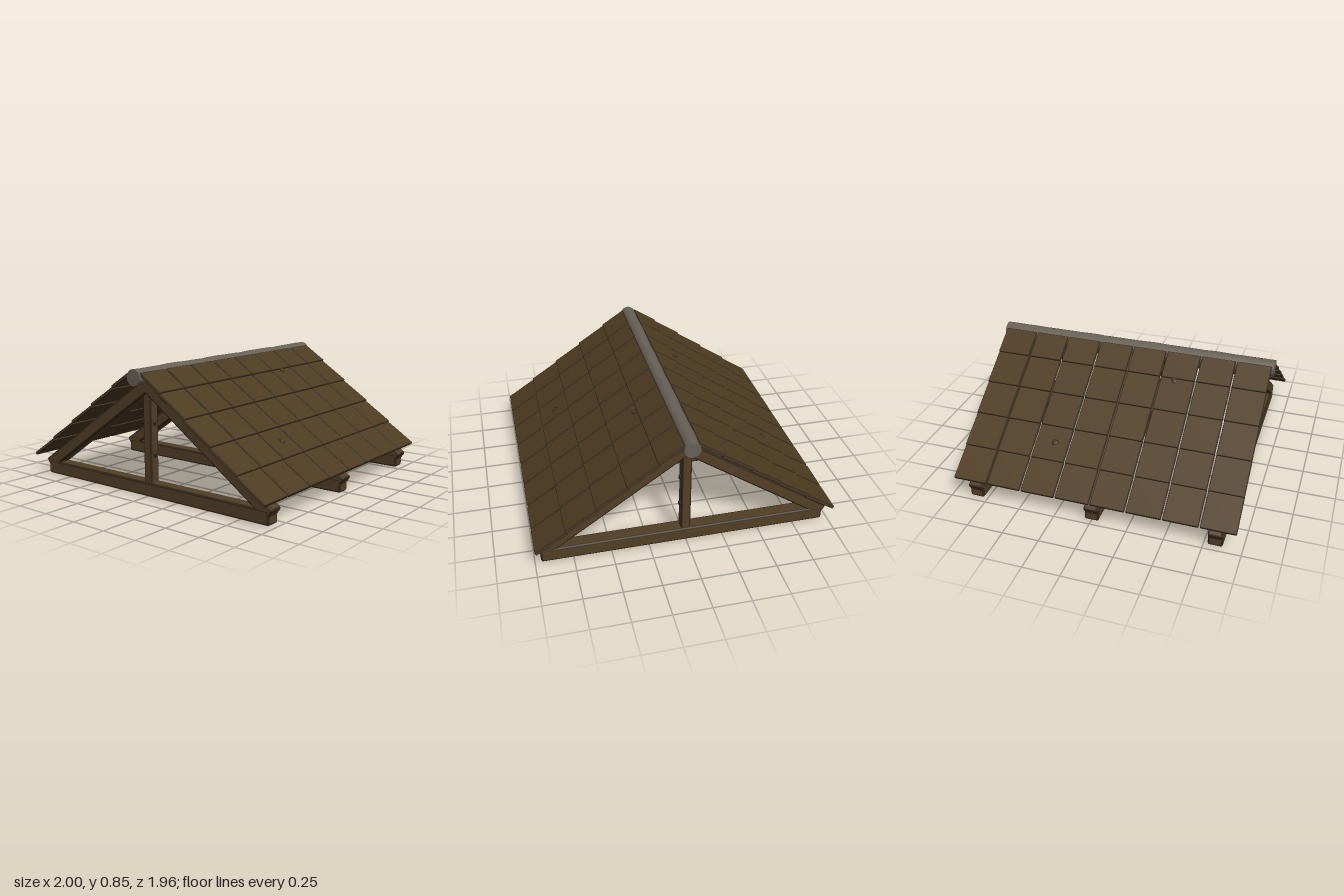
import * as THREE from 'three';
import { RoundedBoxGeometry } from 'three/addons/geometries/RoundedBoxGeometry.js';

const flat = (name, color) => Object.assign(new THREE.MeshStandardMaterial({ color }), { name });

// Box with worn edges: flat sides use material 0, the bevels material 1
function bevelBox(w, h, d, bevel) {
  const geo = new RoundedBoxGeometry(w, h, d, 1, bevel);
  const pos = geo.attributes.position;
  const [a, b, c] = [0, 1, 2].map(() => new THREE.Vector3());
  geo.clearGroups();
  let start = 0, current = -1;
  for (let i = 0; i < pos.count; i += 3) {
    a.fromBufferAttribute(pos, i);
    b.fromBufferAttribute(pos, i + 1).sub(a);
    c.fromBufferAttribute(pos, i + 2).sub(a);
    const n = b.cross(c).normalize();
    const mat = Math.max(Math.abs(n.x), Math.abs(n.y), Math.abs(n.z)) > 0.999 ? 0 : 1;
    if (mat !== current) {
      if (current >= 0) geo.addGroup(start, i - start, current);
      start = i;
      current = mat;
    }
  }
  geo.addGroup(start, pos.count - start, current);
  return geo;
}

export function createModel() {
  const model = new THREE.Group();
  model.name = 'gableRoof';
  const beamWood = flat('beamWood', 0x523e24);
  const tileWood = flat('tileWood', 0x4e3b21);
  const darkEdge = flat('darkEdge', 0x30251a);
  const stone = flat('ridgeGrey', 0x676157);
  const beamMats = [beamWood, darkEdge];
  const tileMats = [tileWood, darkEdge];

  const add = (parent, name, geo, mat, x, y, z, rz = 0) => {
    const mesh = new THREE.Mesh(geo, mat);
    mesh.name = name;
    mesh.position.set(x, y, z);
    mesh.rotation.z = rz;
    parent.add(mesh);
    return mesh;
  };

  // Trusses: tie beam, king post with knots, two rafters
  const pitch = Math.atan(0.69), rafterLen = 1.203, rafterW = 0.088;
  const tieGeo = bevelBox(1.92, 0.095, 0.098, 0.013);
  const postGeo = bevelBox(0.066, 0.63, 0.07, 0.01);
  const rafterGeo = bevelBox(rafterLen, rafterW, 0.094, 0.013);
  const knotGeo = new THREE.SphereGeometry(0.02, 10, 6);
  for (const z of [-0.825, 0, 0.825]) {
    const truss = new THREE.Group();
    truss.name = 'truss';
    truss.position.z = z;
    model.add(truss);
    add(truss, 'tieBeam', tieGeo, beamMats, 0, 0.0475, 0);
    add(truss, 'kingPost', postGeo, beamMats, 0, 0.385, 0);
    for (const y of [0.28, 0.49]) {
      add(truss, 'postKnot', knotGeo, darkEdge, 0.033, y, 0).scale.set(0.65, 1.1, 0.8);
    }
    for (const s of [1, -1]) {
      const x = 0.495 - Math.sin(pitch) * rafterW / 2;
      const y = 0.4425 - Math.cos(pitch) * rafterW / 2;
      add(truss, 'rafter', rafterGeo, beamMats, s * x, y, 0, -s * pitch);
    }
  }

  // Roof slopes: eight columns of five overlapping wooden tiles
  const slope = THREE.MathUtils.degToRad(33), cos = Math.cos(slope), sin = Math.sin(slope);
  const thick = 0.023;
  const tileGeo = bevelBox(0.25, thick, 0.232, 0.006);
  const topTileGeo = bevelBox(0.2, thick, 0.232, 0.006);
  const ringGeo = new THREE.TorusGeometry(0.018, 0.004, 5, 14);
  for (const turn of [0, Math.PI]) {
    const side = new THREE.Group();
    side.name = 'roofSlope';
    side.rotation.y = turn;
    model.add(side);
    for (let row = 0; row < 5; row++) {
      const len = row === 4 ? 0.2 : 0.25;
      const x = 1.003 - 0.197 * row - cos * len / 2 - sin * thick / 2;
      const y = 0.162 + 0.14 * row + sin * len / 2 - cos * thick / 2;
      for (let col = 0; col < 8; col++) {
        add(side, 'roofTile', row === 4 ? topTileGeo : tileGeo, tileMats, x, y, (col - 3.5) * 0.242, -slope);
      }
      // Knots on two of the tiles
      if (row === 1 || row === 3 || row === 4) {
        if (row === 3) continue;
        const kx = row === 1 ? 0.69 : 0.222;
        const slide = (x - kx) / cos;
        const lift = thick / 2;
        const knot = new THREE.Group();
        knot.name = 'tileKnot';
        knot.position.set(kx + sin * lift, y + sin * slide + cos * lift, row === 1 ? 0.345 : -0.345);
        knot.rotation.z = -slope;
        side.add(knot);
        add(knot, 'knotRing', ringGeo, darkEdge, 0, 0, 0).rotation.x = -Math.PI / 2;
        add(knot, 'knotCentre', knotGeo, tileWood, 0, 0, 0).scale.set(0.9, 0.25, 0.9);
      }
    }
  }

  // Ridge log, slightly uneven along its length
  const ridgeGeo = new THREE.CylinderGeometry(0.055, 0.055, 1.955, 16, 28);
  const p = ridgeGeo.attributes.position;
  for (let i = 0; i < p.count; i++) {
    const y = p.getY(i), angle = Math.atan2(p.getZ(i), p.getX(i));
    const k = 0.98 + 0.03 * Math.sin(y * 13) + 0.02 * Math.sin(y * 29 + 2 * angle);
    p.setX(i, p.getX(i) * k);
    p.setZ(i, p.getZ(i) * k);
  }
  ridgeGeo.computeVertexNormals();
  add(model, 'ridgeLog', ridgeGeo, stone, 0, 0.795, 0).rotation.x = Math.PI / 2;

  return model;
}
